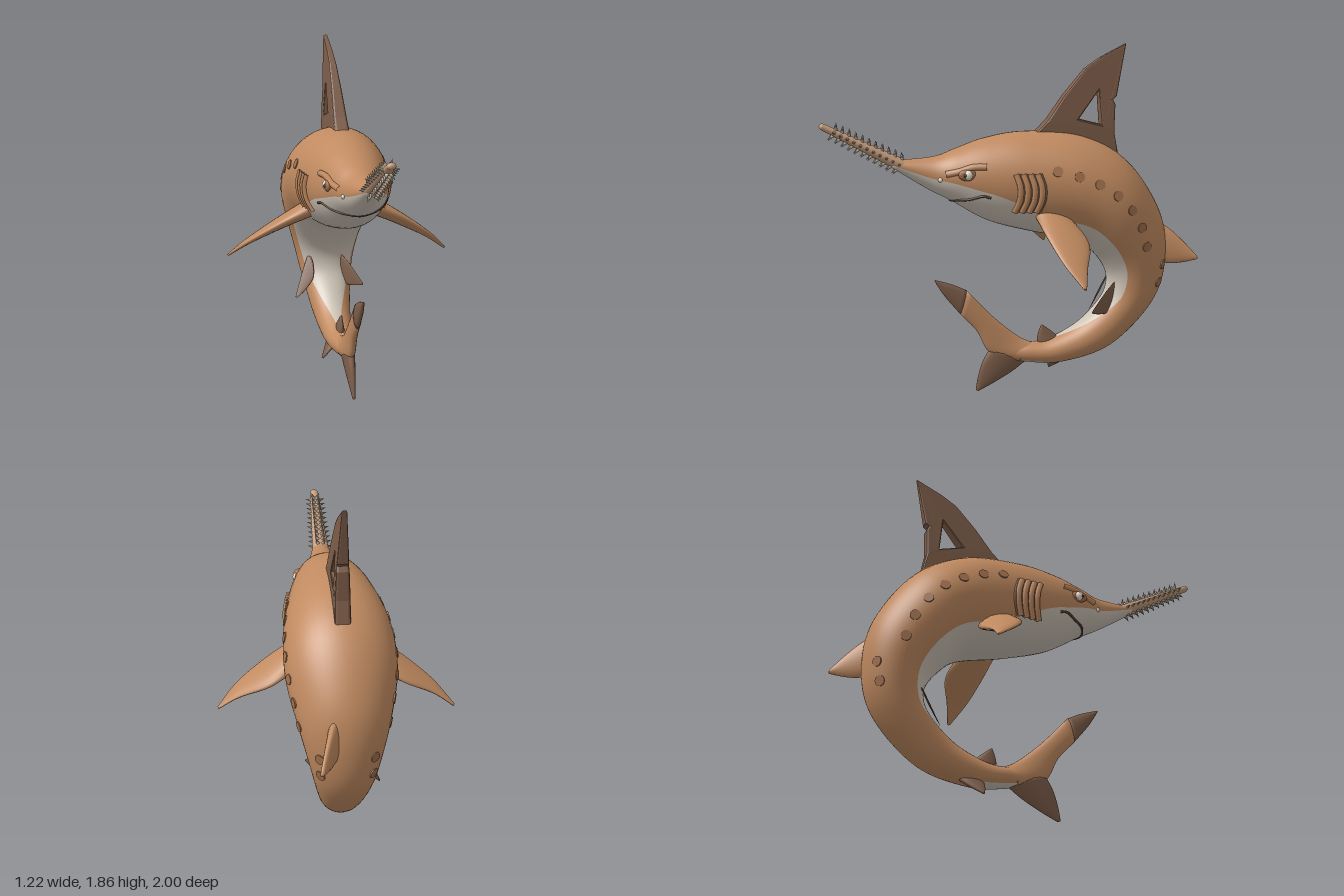
import * as THREE from 'three';

const mat = (name, color) => Object.assign(new THREE.MeshStandardMaterial({ color }), { name });
const V = (x, y, z) => new THREE.Vector3(x, y, z);
const { lerp, smoothstep } = THREE.MathUtils;

// Loft of oval sections. Row: [aZ, aY, bZ, bY, halfThickness, x]
// a and b are opposite ends of each oval, n is the thickness direction.
function loft(rows, { steps = 5, n = V(1, 0, 0), cols = 20, bellyCols = 0, angle = () => Math.PI, patch = () => false } = {}) {
  const curve = f => new THREE.CatmullRomCurve3(rows.map(f), false, 'catmullrom', 0.5);
  const A = curve(r => V(r[5] || 0, r[1], r[0]));
  const B = curve(r => V(r[5] || 0, r[3], r[2]));
  const W = curve(r => V(r[4], 0, 0));
  const count = (rows.length - 1) * steps, total = cols + bellyCols;
  const pos = [], sets = [[], []];
  for (let i = 0; i <= count; i++) {
    const t = i / count, a = A.getPoint(t), b = B.getPoint(t), w = W.getPoint(t).x, edge = angle(t);
    const mid = a.clone().add(b).multiplyScalar(0.5), axis = a.clone().sub(b).multiplyScalar(0.5);
    for (let j = 0; j < total; j++) {
      const phi = j < cols ? edge * (2 * j / cols - 1) : edge + 2 * (Math.PI - edge) * (j - cols) / bellyCols;
      const p = mid.clone().addScaledVector(axis, Math.cos(phi)).addScaledVector(n, w * Math.sin(phi));
      pos.push(p.x, p.y, p.z);
    }
  }
  for (let i = 0; i < count; i++) for (let j = 0; j < total; j++) {
    const p = i * total + j, q = i * total + (j + 1) % total;
    const light = j >= cols || patch(i / count, 2 * (j + 0.5) / cols - 1);
    sets[light ? 1 : 0].push(p, q, p + total, q, q + total, p + total);
  }
  // End caps
  for (const i of [0, count]) {
    const m = A.getPoint(i / count).add(B.getPoint(i / count)).multiplyScalar(0.5);
    const centre = pos.length / 3;
    pos.push(m.x, m.y, m.z);
    for (let j = 0; j < total; j++) {
      const p = i * total + j, q = i * total + (j + 1) % total;
      sets[0].push(...(i ? [centre, p, q] : [centre, q, p]));
    }
  }
  // Turn the faces outward when the section order made them inward
  const at = i => V(pos[3 * i], pos[3 * i + 1], pos[3 * i + 2]);
  let volume = 0;
  for (const s of sets) for (let i = 0; i < s.length; i += 3) volume += at(s[i]).dot(at(s[i + 1]).cross(at(s[i + 2])));
  if (volume < 0) sets.forEach(s => s.reverse());
  const g = new THREE.BufferGeometry();
  g.setAttribute('position', new THREE.Float32BufferAttribute(pos, 3));
  g.setIndex([...sets[0], ...sets[1]]);
  g.addGroup(0, sets[0].length, 0);
  g.addGroup(sets[0].length, sets[1].length, 1);
  g.computeVertexNormals();
  return g;
}

// Fin tapering from a root chord (a to b) to a tip point
function taperFin([az, ay, bz, by], [tz, ty], x0, x1, w, n) {
  const cz = (az + bz) / 2, cy = (ay + by) / 2;
  const rows = [0, 0.35, 0.7, 1].map(k => {
    const s = 1 - 0.92 * k ** 1.5, z = lerp(cz, tz, k), y = lerp(cy, ty, k);
    return [z + (az - cz) * s, y + (ay - cy) * s, z + (bz - cz) * s, y + (by - cy) * s, w * (1 - 0.75 * k), lerp(x0, x1, k)];
  });
  return loft(rows, { n: n.normalize() });
}

export function createModel() {
  const root = new THREE.Group();
  const skin = mat('skin orange', 0xc08a60), belly = mat('belly grey', 0xcdc3b6), fin = mat('fin brown', 0x7d5d49);
  const spot = mat('spot brown', 0xa06f4c), saw = mat('saw tan', 0xc49c7c), tooth = mat('tooth grey', 0xb9a692);
  const white = mat('eye white', 0xe6e0d6), dark = mat('dark line', 0x4a372b);
  const add = (name, g, m, parent = root) => {
    const mesh = new THREE.Mesh(g, m);
    mesh.name = name;
    parent.add(mesh);
    return mesh;
  };

  // Body, from snout over the back to the tail
  const body = add('body', loft([
    [0.63, 1.28, 0.64, 1.245, 0.035],
    [0.42, 1.295, 0.46, 1.13, 0.085],
    [0.3, 1.335, 0.33, 1.06, 0.14],
    [0.15, 1.385, 0.14, 0.95, 0.195],
    [-0.06, 1.415, -0.1, 0.88, 0.24],
    [-0.36, 1.39, -0.34, 0.83, 0.275],
    [-0.62, 1.25, -0.45, 0.745, 0.275],
    [-0.81, 0.97, -0.525, 0.635, 0.225],
    [-0.85, 0.7, -0.53, 0.54, 0.18],
    [-0.78, 0.46, -0.48, 0.455, 0.145],
    [-0.55, 0.225, -0.355, 0.345, 0.108],
    [-0.28, 0.143, -0.19, 0.27, 0.082],
    [-0.08, 0.153, -0.07, 0.26, 0.058],
    [0.03, 0.185, 0.03, 0.25, 0.03],
  ], {
    steps: 8, cols: 32, bellyCols: 16,
    angle: t => 1.8 + 0.43 * smoothstep(t, 0.22, 0.36) + 0.87 * smoothstep(t, 0.64, 0.88),
    patch: (t, u) => t > 0.86 && Math.abs(u) < 0.25,
  }), [skin, belly]);

  // Point and normal on the body side at (z, y)
  const ray = new THREE.Raycaster();
  const onBody = (z, y, s) => {
    ray.set(V(2 * s, y, z), V(-s, 0, 0));
    const hit = ray.intersectObject(body)[0];
    return hit ? { p: hit.point, n: hit.face.normal } : { p: V(0, y, z), n: V(s, 0, 0) };
  };
  const tube = (name, pts, r, m) => add(name, new THREE.TubeGeometry(new THREE.CatmullRomCurve3(pts), 20, r, 6), m);

  // Dorsal fin with a window
  const points = list => list.map(p => new THREE.Vector2(...p));
  const shape = new THREE.Shape(points([[-0.1, 1.38], [-0.19, 1.465], [-0.285, 1.6], [-0.395, 1.73], [-0.475, 1.785],
    [-0.605, 1.855], [-0.553, 1.595], [-0.53, 1.575], [-0.545, 1.545], [-0.54, 1.4], [-0.565, 1.28]]));
  shape.holes.push(new THREE.Path(points([[-0.465, 1.635], [-0.34, 1.47], [-0.487, 1.432]])));
  const dorsal = new THREE.ExtrudeGeometry(shape, { depth: 0.05, bevelThickness: 0.014, bevelSize: 0.01, bevelSegments: 2 });
  dorsal.translate(0, 0, -0.025).rotateY(-Math.PI / 2);
  const dp = dorsal.attributes.position;
  for (let i = 0; i < dp.count; i++) dp.setX(i, dp.getX(i) * (1 - 0.7 * THREE.MathUtils.clamp((dp.getY(i) - 1.45) / 0.42, 0, 1)));
  dorsal.computeVertexNormals();
  add('dorsalFin', dorsal, fin);

  // Pectoral fins, the right one swept further back
  for (const s of [1, -1]) {
    const rows = [
      [-0.08, 1, -0.27, 0.97, 0.17], [-0.1, 0.92, -0.33, 0.865, 0.33],
      [-0.15, 0.805, -0.275, 0.775, 0.5], [-0.222, 0.702, -0.24, 0.697, 0.608],
    ].map(([az, ay, bz, by, x]) => {
      const k = (x - 0.17) / 0.44, sweep = s < 0 ? 0.09 * k * k : 0;
      return [az - sweep, ay, bz - sweep, by, lerp(0.05, 0.006, k), x * s];
    });
    add(s > 0 ? 'leftPectoralFin' : 'rightPectoralFin', loft(rows, { steps: 8, n: V(0.6 * s, 0.8, 0) }), skin);
  }

  // Smaller fins
  add('leftPelvicFin', taperFin([-0.56, 0.6, -0.54, 0.43], [-0.4, 0.455], 0.07, 0.17, 0.025, V(0.8, 0, 0.6)), fin);
  add('rightPelvicFin', taperFin([-0.57, 0.6, -0.5, 0.46], [-0.49, 0.37], -0.11, -0.2, 0.025, V(0.8, 0, 0.6)), fin);
  add('rearBackFin', taperFin([-0.79, 0.92, -0.79, 0.69], [-0.993, 0.72], 0.055, 0.14, 0.04, V(1, 0, 0)), skin);
  add('innerTailFin', taperFin([-0.27, 0.26, -0.14, 0.25], [-0.165, 0.352], 0, 0, 0.025, V(1, 0, 0)), fin);
  add('outerTailFin', taperFin([-0.35, 0.17, -0.22, 0.17], [-0.23, 0.083], -0.03, -0.095, 0.025, V(0.8, -0.5, 0)), fin);

  // Tail lobes
  add('lowerTailLobe', taperFin([0.125, 0.24, -0.09, 0.17], [0.195, 0.007], 0, 0, 0.034, V(1, 0, 0)), fin);
  add('upperTailLobe', loft([[-0.12, 0.255, -0.02, 0.16, 0.05], [-0.03, 0.3, 0.125, 0.215, 0.034],
    [0.11, 0.42, 0.195, 0.34, 0.026], [0.25, 0.57, 0.285, 0.44, 0.021]]), skin);
  add('upperTailTip', loft([[0.25, 0.57, 0.285, 0.44, 0.022], [0.33, 0.607, 0.37, 0.545, 0.016], [0.42, 0.635, 0.42, 0.625, 0.006]]), fin);

  // Toothed saw
  const snout = new THREE.Group();
  snout.name = 'saw';
  snout.position.set(0, 1.235, 0.55);
  snout.rotation.x = Math.atan2(0.45, 0.235);
  root.add(snout);
  const length = 0.49;
  add('sawBlade', new THREE.CylinderGeometry(0.02, 0.042, length, 16).translate(0, length / 2, 0).scale(1.15, 1, 0.85), saw, snout);
  add('sawTip', new THREE.SphereGeometry(0.02, 12, 8).scale(1.15, 0.9, 0.85).translate(0, length, 0), saw, snout);
  for (const deg of [0, 180, 65, 115, 245, 295]) for (let i = 0; i < 11; i++) {
    const holder = new THREE.Group(), y = 0.06 + i * 0.037;
    holder.name = 'sawToothMount';
    holder.rotation.y = deg * Math.PI / 180;
    const cone = add('sawTooth', new THREE.ConeGeometry(0.012, 0.042, 6), tooth, holder);
    cone.position.set(0.05 - y * 0.035, y, 0);
    cone.rotation.z = -1.25;
    snout.add(holder);
  }

  // Face, gills and spots on both sides
  const spotArc = new THREE.QuadraticBezierCurve(...points([[-0.185, 1.23], [-0.6, 1.15], [-0.68, 0.81]]));
  const spots = [...spotArc.getSpacedPoints(6), ...points([[-0.8, 0.69], [-0.78, 0.59]])];
  for (const s of [1, -1]) {
    const line = pts => pts.map(([z, y]) => onBody(z, y, s).p);
    const eye = onBody(0.265, 1.215, s).p;
    add('eyeSocket', new THREE.SphereGeometry(0.042, 16, 10).scale(0.4, 0.75, 1.2), spot).position.copy(eye);
    add('eye', new THREE.SphereGeometry(0.026, 16, 10), white).position.copy(eye);
    add('pupil', new THREE.SphereGeometry(0.01, 10, 8), dark).position.copy(eye).add(V(s * 0.014, 0, 0.016));
    tube('brow', line([[0.37, 1.215], [0.3, 1.232], [0.24, 1.252], [0.17, 1.255]]), 0.018, skin);
    add('nostril', new THREE.SphereGeometry(0.012, 10, 8), white).position.copy(onBody(0.4, 1.185, s).p);
    for (let i = 0; i < 4; i++) {
      const arc = z => line([1.22, 1.155, 1.085, 1.02].map(y => [z - 0.025 + 2.3 * (y - 1.12) ** 2, y]));
      tube('gillRidge', arc(0.03 - i * 0.036), 0.017, skin);
      tube('gillSlit', arc(0.012 - i * 0.036), 0.008, fin);
    }
    for (const { x: z, y } of spots) {
      const { p, n } = onBody(z, y, s);
      const disc = add('spot', new THREE.CylinderGeometry(0.027, 0.027, 0.009, 16), spot);
      disc.position.copy(p);
      disc.quaternion.setFromUnitVectors(V(0, 1, 0), n);
    }
  }

  // Mouth line
  const jaw = s => [[0.15, 1.095], [0.19, 1.105], [0.25, 1.085], [0.305, 1.075]].map(([z, y]) => onBody(z, y, s).p);
  tube('mouth', [...jaw(-1), V(0, 1.064, 0.336), ...jaw(1).reverse()], 0.007, dark);
  return root;
}
